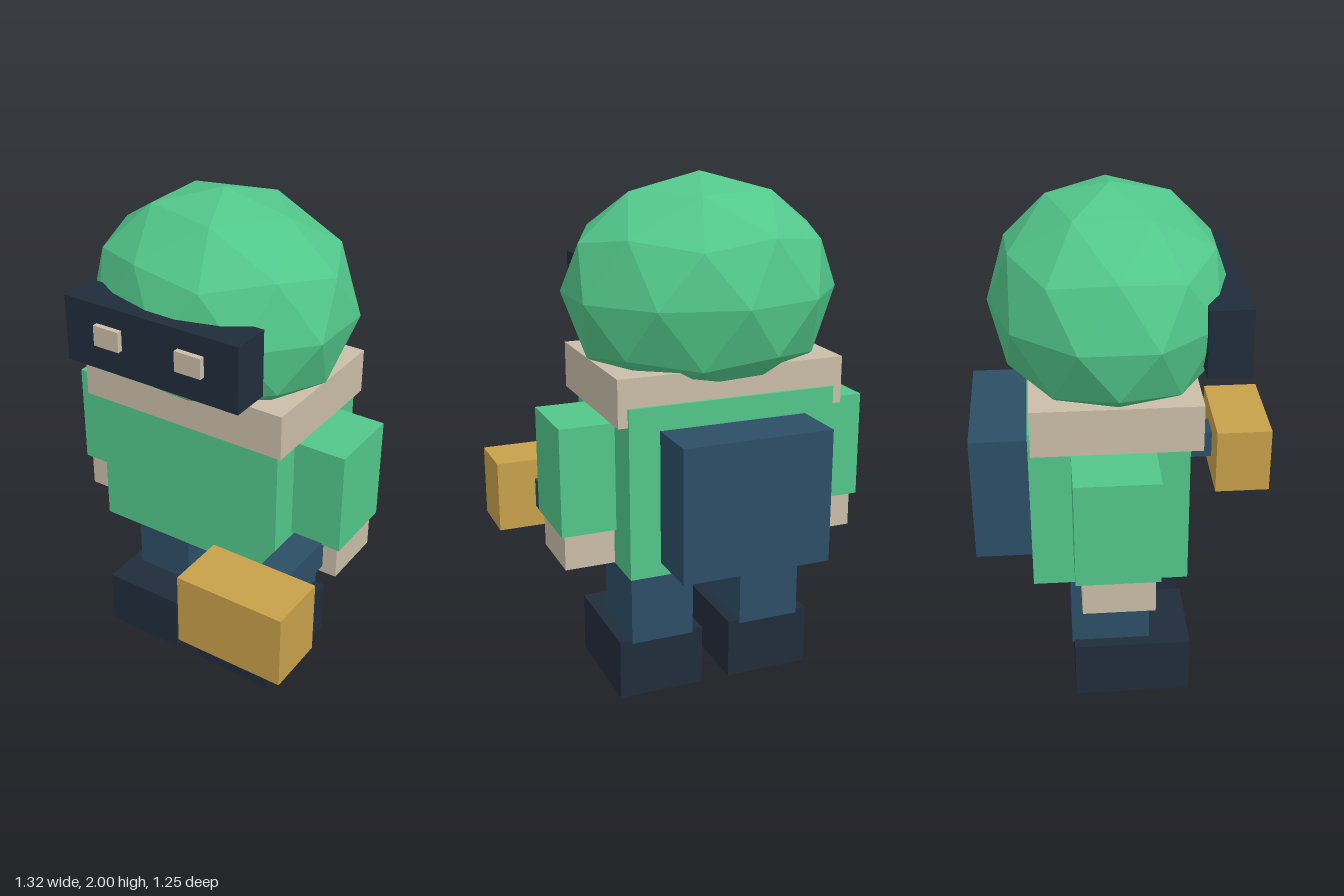
import * as THREE from 'three';

export function createModel() {
  const model = new THREE.Group();
  const material = (name, color) => {
    const m = new THREE.MeshStandardMaterial({ color });
    m.name = name;
    return m;
  };
  const green = material('green', 0x52c78a);
  const navy = material('navy', 0x2c4e66);
  const dark = material('dark', 0x212c3b);
  const tan = material('tan', 0xcabda8);
  const gold = material('gold', 0xc7a04a);

  // Box given by its limits along x, y and z
  const box = (name, mat, [x0, x1], [y0, y1], [z0, z1]) => {
    const mesh = new THREE.Mesh(new THREE.BoxGeometry(x1 - x0, y1 - y0, z1 - z0), mat);
    mesh.position.set((x0 + x1) / 2, (y0 + y1) / 2, (z0 + z1) / 2);
    mesh.name = name;
    model.add(mesh);
  };
  // Two boxes mirrored about the body's middle plane
  const midX = -0.0425;
  const pair = (name, mat, [inner, outer], y, z) => {
    box('left' + name, mat, [midX + inner, midX + outer], y, z);
    box('right' + name, mat, [midX - outer, midX - inner], y, z);
  };

  // Faceted head: icosphere with one corner pointing up, stretched to an ellipsoid
  const headGeo = new THREE.IcosahedronGeometry(1, 1);
  headGeo.rotateZ(-Math.atan(2 / (1 + Math.sqrt(5))));
  headGeo.scale(0.53, 0.435, 0.455);
  headGeo.computeVertexNormals(); // unshared corners give flat facets
  const head = new THREE.Mesh(headGeo, green);
  head.position.set(-0.041, 1.565, -0.08);
  head.name = 'head';
  model.add(head);

  // Face mask with eyes
  box('mask', dark, [-0.418, 0.33], [1.4, 1.66], [0.235, 0.395]);
  pair('Eye', tan, [0.122, 0.232], [1.505, 1.585], [0.385, 0.417]);

  // Body
  box('collar', tan, [-0.488, 0.402], [1.15, 1.33], [-0.395, 0.222]);
  box('torso', green, [-0.45, 0.365], [0.567, 1.22], [-0.405, 0.18]);
  box('backpack', navy, [-0.333, 0.247], [0.62, 1.128], [-0.623, -0.395]);

  // Limbs
  pair('Arm', green, [0.4, 0.619], [0.71, 1.128], [-0.252, 0.057]);
  pair('Hand', tan, [0.4, 0.602], [0.568, 0.715], [-0.228, 0.04]);
  pair('Leg', navy, [0.102, 0.355], [0.23, 0.575], [-0.265, 0.04]);
  pair('Foot', dark, [0.058, 0.402], [0, 0.24], [-0.256, 0.198]);

  // Hammer held in the left hand
  box('hammerHandle', navy, [0.377, 0.5], [0.595, 0.717], [-0.1, 0.4]);
  box('hammerHead', gold, [0.222, 0.657], [0.508, 0.8], [0.386, 0.622]);

  return model;
}
